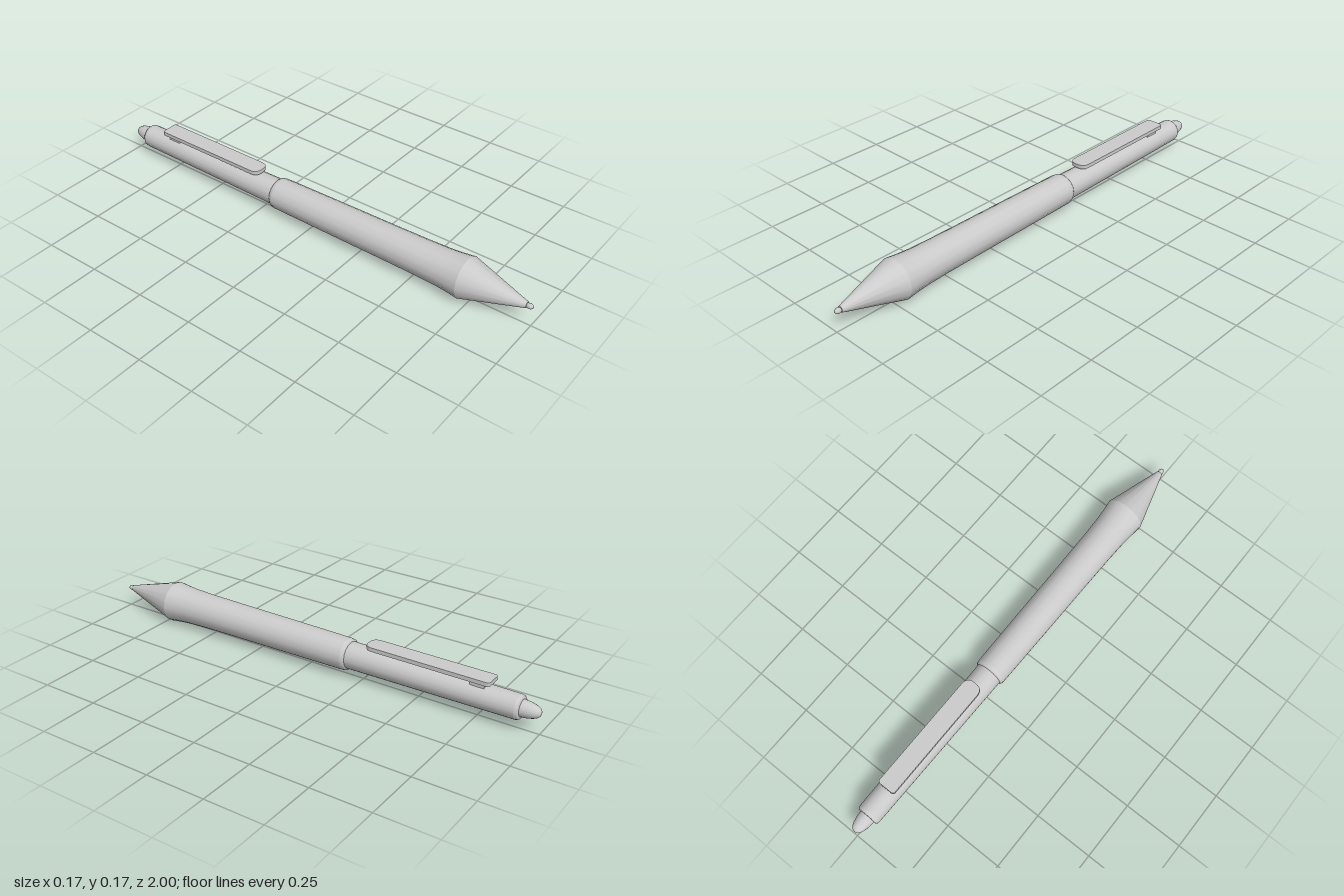
import * as THREE from 'three';

const AXIS_Y = 0.088;
const SIDES = 16;

export function createModel() {
  const group = new THREE.Group();
  const material = new THREE.MeshStandardMaterial({ color: 0xcccccc });

  const add = (name, geometry) => {
    const mesh = new THREE.Mesh(geometry, material);
    mesh.name = name;
    group.add(mesh);
    return mesh;
  };

  // Turned part along z: profile is [radius, z] from back to front
  const turned = (name, profile) => {
    const points = profile.map(([r, z]) => new THREE.Vector2(r, z));
    const geometry = new THREE.LatheGeometry(points, SIDES);
    geometry.rotateX(Math.PI / 2);
    geometry.translate(0, AXIS_Y, 0);
    return add(name, geometry);
  };

  // Writing end
  turned('tipBall', [
    [0.007, 0.972], [0.010, 0.978], [0.0115, 0.987], [0.009, 0.995], [0.005, 0.999], [0, 1],
  ]);
  turned('noseCone', [[0.087, 0.72], [0.013, 0.975]]);
  turned('noseEnd', [[0.013, 0.975], [0, 0.977]]);

  // Flared grip and front barrel, stepping down at the back
  turned('frontBarrel', [
    [0.067, -0.172], [0.068, -0.1], [0.070, 0.1], [0.072, 0.35], [0.074, 0.52],
    [0.077, 0.62], [0.081, 0.67], [0.0855, 0.71], [0.087, 0.72],
  ]);
  turned('barrelShoulder', [[0.055, -0.189], [0.061, -0.188], [0.065, -0.182], [0.067, -0.172]]);

  // Slimmer rear barrel with a rounded closing edge
  turned('rearBarrel', [[0.050, -0.91], [0.053, -0.6], [0.057, -0.17]]);
  turned('rearEdge', [[0.034, -0.925], [0.044, -0.924], [0.048, -0.919], [0.050, -0.91]]);

  // Push button
  turned('pushButton', [
    [0, -1], [0.012, -0.997], [0.020, -0.989], [0.027, -0.973],
    [0.032, -0.952], [0.035, -0.92],
  ]);

  // Clip plate: round front end, small back corners (shape y runs along -z)
  const w = 0.039, front = 0.27, back = 0.805, rf = 0.034, rb = 0.012;
  const outline = new THREE.Shape();
  outline.moveTo(-w, front + rf);
  outline.quadraticCurveTo(-w, front, -w + rf, front);
  outline.lineTo(w - rf, front);
  outline.quadraticCurveTo(w, front, w, front + rf);
  outline.lineTo(w, back - rb);
  outline.quadraticCurveTo(w, back, w - rb, back);
  outline.lineTo(-w + rb, back);
  outline.quadraticCurveTo(-w, back, -w, back - rb);
  const plate = new THREE.ExtrudeGeometry(outline, { depth: 0.017, bevelEnabled: false, curveSegments: 6 });
  plate.rotateX(-Math.PI / 2);
  add('clip', plate).position.y = 0.152;

  // Post joining the clip to the barrel
  add('clipPost', new THREE.BoxGeometry(0.05, 0.024, 0.06)).position.set(0, 0.142, -0.75);

  return group;
}
